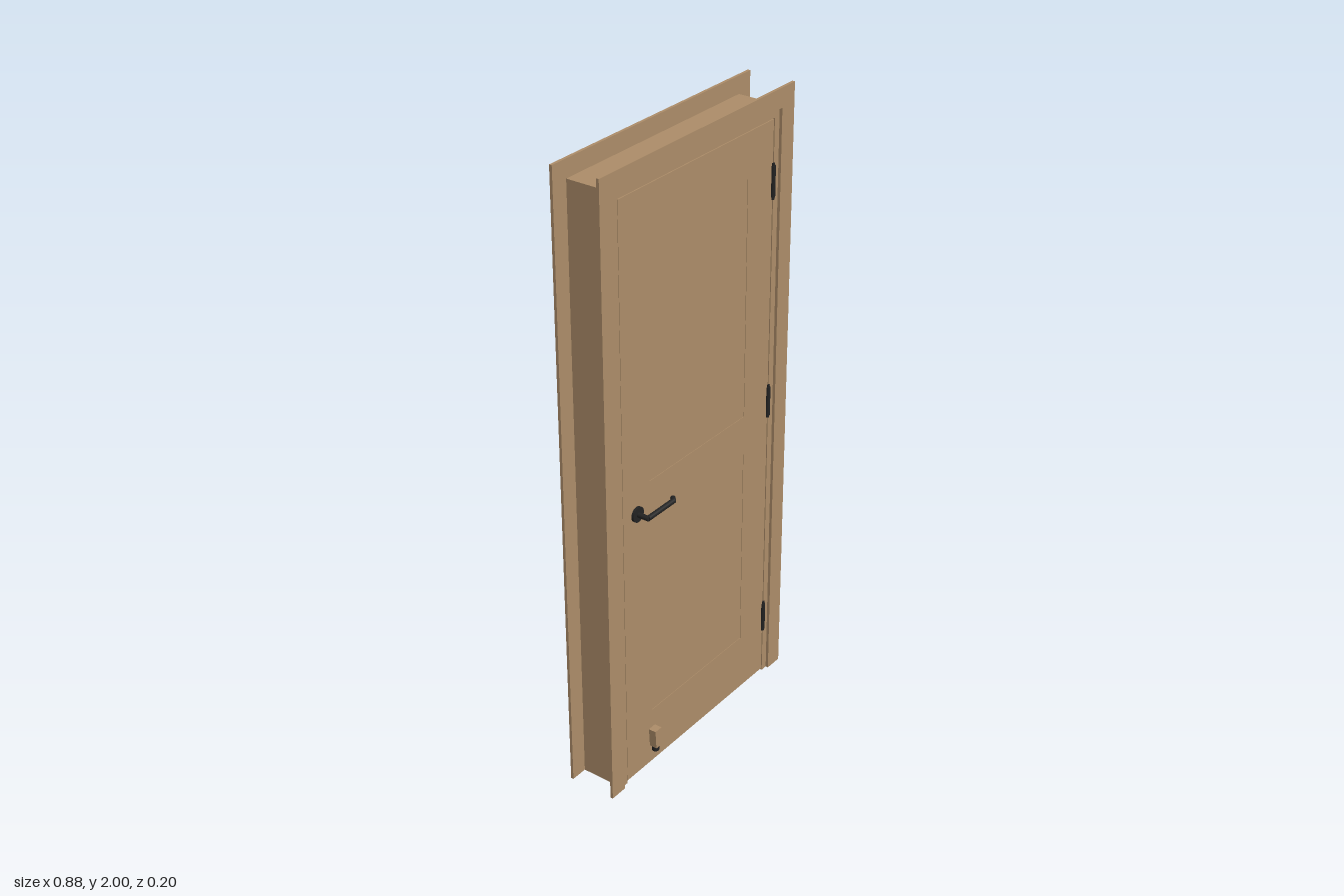
import * as THREE from 'three';

export function createModel() {
  const root = new THREE.Group();
  root.name = 'door';
  const wood = new THREE.MeshStandardMaterial({ color: 0xad8d69 });
  wood.name = 'wood';
  const black = new THREE.MeshStandardMaterial({ color: 0x222222 });
  black.name = 'black metal';

  const add = (name, geometry, material, parent = root) => {
    const mesh = new THREE.Mesh(geometry, material);
    mesh.name = name;
    parent.add(mesh);
    return mesh;
  };
  // box given by its limits
  const box = (name, x0, x1, y0, y1, z0, z1, material = wood, parent = root) => {
    const mesh = add(name, new THREE.BoxGeometry(x1 - x0, y1 - y0, z1 - z0), material, parent);
    mesh.position.set((x0 + x1) / 2, (y0 + y1) / 2, (z0 + z1) / 2);
    return mesh;
  };
  // flat outline pushed from z0 to z1
  const plate = (name, points, z0, z1, holes = []) => {
    const shape = new THREE.Shape(points.map(p => new THREE.Vector2(...p)));
    for (const h of holes) shape.holes.push(new THREE.Path(h.map(p => new THREE.Vector2(...p))));
    const geometry = new THREE.ExtrudeGeometry(shape, { depth: z1 - z0, bevelEnabled: false });
    geometry.translate(0, 0, z0);
    return add(name, geometry, wood);
  };
  // round bar between two points
  const rod = (name, a, b, r, parent, sides = 16) => {
    const p = new THREE.Vector3(...a), d = new THREE.Vector3(...b).sub(p);
    const mesh = add(name, new THREE.CylinderGeometry(r, r, d.length(), sides), black, parent);
    mesh.position.copy(p).addScaledVector(d, 0.5);
    mesh.quaternion.setFromUnitVectors(new THREE.Vector3(0, 1, 0), d.normalize());
    return mesh;
  };

  // mitred casings on both faces of the wall
  for (const [side, z0, z1] of [['front', 0.051, 0.06], ['back', -0.102, -0.093]]) {
    plate(side + 'CasingHead', [[-0.44, 2], [-0.38, 1.94], [0.38, 1.94], [0.44, 2]], z0, z1);
    plate(side + 'CasingLeft', [[0.38, 0], [0.44, 0], [0.44, 2], [0.38, 1.94]], z0, z1);
    plate(side + 'CasingRight', [[-0.44, 0], [-0.38, 0], [-0.38, 1.94], [-0.44, 2]], z0, z1);
  }

  // jambs and the stops the leaf closes against
  for (const s of [-1, 1]) {
    const span = (a, b) => (s > 0 ? [a, b] : [-b, -a]);
    const label = s > 0 ? 'Left' : 'Right';
    box('jamb' + label, ...span(0.357, 0.385), 0, 1.945, -0.093, 0.051);
    box('stop' + label, ...span(0.346, 0.357), 0, 1.915, -0.008, 0.009);
  }
  box('jambHead', -0.357, 0.357, 1.915, 1.945, -0.093, 0.051);
  box('stopHead', -0.346, 0.346, 1.904, 1.915, -0.008, 0.009);

  // door leaf with two nearly flush panels
  const panels = [[0.2, 0.88], [1.01, 1.775]];
  const px = 0.232;
  plate('doorLeaf',
    [[-0.354, 0.008], [0.354, 0.008], [0.354, 1.912], [-0.354, 1.912]], 0.01, 0.05,
    panels.map(([a, b]) => [[-px, a], [-px, b], [px, b], [px, a]]));
  panels.forEach(([a, b], i) =>
    box(i ? 'upperPanel' : 'lowerPanel', -px, px, a, b, 0.0115, 0.0485));

  // hinge knuckles with end caps
  for (const y of [0.218, 1.01, 1.725]) {
    const hinge = new THREE.Group();
    hinge.name = 'hinge';
    root.add(hinge);
    rod('knuckle', [0.355, y - 0.048, 0.051], [0.355, y + 0.048, 0.051], 0.0075, hinge);
    rod('pin', [0.355, y - 0.056, 0.051], [0.355, y + 0.056, 0.051], 0.005, hinge);
  }

  // lever handles on both faces
  for (const [name, s, z] of [['frontHandle', 1, 0.05], ['backHandle', -1, 0.01]]) {
    const handle = new THREE.Group();
    handle.name = name;
    root.add(handle);
    const at = (x, d) => [x, 0.932, z + s * d];
    rod('rose', at(-0.293, 0), at(-0.293, 0.008), 0.024, handle, 24);
    rod('neck', at(-0.293, 0.008), at(-0.293, 0.045), 0.008, handle);
    rod('lever', at(-0.293, 0.041), at(-0.172, 0.041), 0.008, handle);
    rod('leverTip', at(-0.175, 0.041), at(-0.162, 0.03), 0.008, handle);
  }

  // foot-operated door holder, narrower at the bottom
  const holder = new THREE.Group();
  holder.name = 'doorHolder';
  root.add(holder);
  const body = new THREE.BoxGeometry(0.03, 0.065, 0.025);
  const pos = body.attributes.position;
  for (let i = 0; i < pos.count; i++) if (pos.getY(i) < 0) pos.setX(i, pos.getX(i) * 0.72);
  body.computeVertexNormals();
  add('holderBody', body, wood, holder).position.set(-0.232, 0.1035, 0.0625);
  rod('holderFoot', [-0.232, 0.056, 0.0635], [-0.232, 0.071, 0.0635], 0.0115, holder);

  return root;
}
